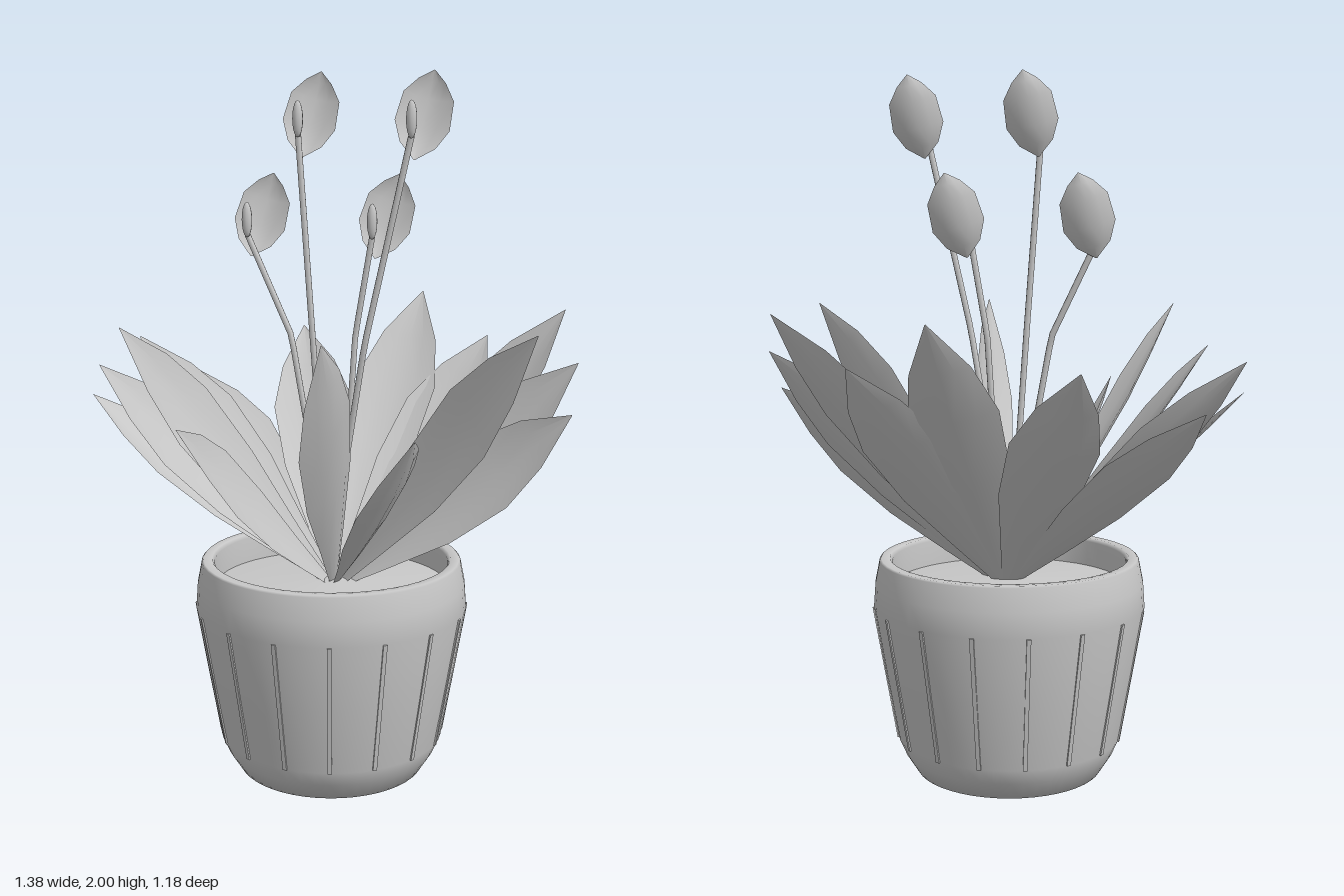
import * as THREE from 'three';

const clay = new THREE.MeshStandardMaterial({ color: 0xc8c8c8, side: THREE.DoubleSide });
clay.name = 'clay grey';

const V = (x, y, z) => new THREE.Vector3(x, y, z);

function add(parent, name, geometry) {
  const mesh = new THREE.Mesh(geometry, clay);
  mesh.name = name;
  parent.add(mesh);
  return mesh;
}

// Cupped blade from base to tip; profile rows are [position along, half width, bow]
function blade(base, tip, side, normal, profile, cup) {
  const pos = [], index = [], n = 4;
  profile.forEach(([t, w, bow], i) => {
    const centre = base.clone().lerp(tip, t).addScaledVector(normal, bow);
    for (let j = 0; j <= n; j++) {
      const u = (j / n) * 2 - 1;
      const p = centre.clone().addScaledVector(side, u * w).addScaledVector(normal, cup * w * (u * u - 0.5));
      pos.push(p.x, p.y, p.z);
      if (i && j) {
        const a = (i - 1) * (n + 1) + j - 1, b = a + 1, c = a + n + 1, d = c + 1;
        index.push(a, b, d, a, d, c);
      }
    }
  });
  const g = new THREE.BufferGeometry();
  g.setAttribute('position', new THREE.Float32BufferAttribute(pos, 3));
  g.setIndex(index);
  g.computeVertexNormals();
  return g;
}

function makePot() {
  const pot = new THREE.Group();
  pot.name = 'pot';
  pot.position.set(-0.007, 0, 0.009);
  const profile = [[0, 0], [0.27, 0], [0.305, 0.055], [0.325, 0.1], [0.36, 0.295], [0.393, 0.49],
    [0.388, 0.56], [0.375, 0.625], [0.37, 0.63], [0.345, 0.63], [0.338, 0.62], [0.338, 0.53]];
  add(pot, 'potBody', new THREE.LatheGeometry(profile.map(p => new THREE.Vector2(...p)), 48));
  add(pot, 'soil', new THREE.LatheGeometry(
    [[0.34, 0.545], [0.2, 0.56], [0, 0.57]].map(p => new THREE.Vector2(...p)), 32));
  // Thin upright ribs around the wall
  for (let i = 0; i < 16; i++) {
    const holder = new THREE.Group();
    holder.name = 'rib';
    holder.rotation.y = (i / 16) * Math.PI * 2;
    const rib = add(holder, 'ribStrip', new THREE.BoxGeometry(0.012, 0.395, 0.008));
    rib.position.set(0, 0.295, 0.359);
    rib.rotation.x = Math.atan2(0.068, 0.39);
    pot.add(holder);
  }
  return pot;
}

// Leaf tips: x, y, z and roll in degrees about the leaf's own length
const LEAVES = [
  [0.05, 1.34, -0.59, -15], [0.28, 1.22, -0.54, -22], [0.58, 1.34, -0.32, -33],
  [0.67, 1.22, -0.13, -50], [0.69, 1.10, 0, -56], [0.65, 1.34, 0.21, -70],
  [0.42, 1.10, 0.48, -36], [0.21, 1.34, 0.575, -60], [-0.19, 1.10, 0.585, 48],
  [-0.40, 1.34, 0.50, 50], [-0.52, 1.22, 0.41, 38], [-0.65, 1.10, 0.24, 15],
  [-0.69, 1.22, -0.10, 25], [-0.61, 1.10, -0.29, 18], [-0.33, 1.22, -0.52, 12],
];
const LEAF_PROFILE = [[0, 0.015, 0], [0.22, 0.06, -0.008], [0.45, 0.108, -0.012],
  [0.68, 0.122, -0.01], [0.84, 0.082, -0.005], [1, 0.001, 0]];

function makeLeaves() {
  const leaves = new THREE.Group();
  leaves.name = 'leaves';
  for (const [x, y, z, roll] of LEAVES) {
    const tip = V(x, y, z), flat = V(x, 0, z).normalize();
    const base = V(0, 0.545, 0).addScaledVector(flat, 0.01);
    const axis = tip.clone().sub(base).normalize();
    const side = V(flat.z, 0, -flat.x);
    const up = axis.clone().cross(side);
    const r = THREE.MathUtils.degToRad(roll), c = Math.cos(r), s = Math.sin(r);
    const normal = up.clone().multiplyScalar(c).addScaledVector(side, s);
    const across = side.clone().multiplyScalar(c).addScaledVector(up, -s);
    add(leaves, 'leaf', blade(base, tip, across, normal, LEAF_PROFILE, 0.22));
  }
  return leaves;
}

// Flowers: stem bend, stem end, and lean of the hood along x
const FLOWERS = [
  { bend: [-0.13, 1.27, 0.01], end: [-0.265, 1.55, 0.01], lean: 0.035 },
  { bend: [-0.05, 1.3, 0.045], end: [-0.09, 1.83, 0.045], lean: 0.025 },
  { bend: [0.04, 1.27, -0.055], end: [0.09, 1.55, -0.055], lean: 0.04 },
  { bend: [0.135, 1.27, 0.11], end: [0.265, 1.83, 0.11], lean: 0.025 },
];
const HOOD_PROFILE = [[0, 0.002, 0], [0.16, 0.048, -0.008], [0.38, 0.074, -0.012],
  [0.7, 0.068, -0.01], [0.88, 0.036, -0.005], [1, 0.001, 0]];

function makeFlower({ bend, end, lean }) {
  const flower = new THREE.Group();
  flower.name = 'flower';
  const [x, y, z] = end;
  const path = new THREE.CurvePath();
  const pts = [V(0, 0.55, 0), V(bend[0] * 0.55, 0.95, bend[2] * 0.8), V(...bend), V(...end)];
  for (let i = 1; i < pts.length; i++) path.add(new THREE.LineCurve3(pts[i - 1], pts[i]));
  add(flower, 'stem', new THREE.TubeGeometry(path, 24, 0.009, 8));

  // Pointed hood behind the spike
  const base = V(x + 0.005, y - 0.06, z - 0.01), tip = V(x + 0.008 + lean, y + 0.172, z - 0.085);
  const axis = tip.clone().sub(base).normalize();
  const side = V(0.93, 0, -0.36).normalize();
  side.addScaledVector(axis, -side.dot(axis)).normalize();
  const normal = side.clone().cross(axis);
  add(flower, 'hood', blade(base, tip, side, normal, HOOD_PROFILE, 0.4));

  const spike = add(flower, 'spike', new THREE.SphereGeometry(0.015, 10, 10));
  spike.scale.y = 3.3;
  spike.position.set(x + 0.008, y + 0.045, z + 0.02);
  const neck = new THREE.LineCurve3(V(...end), V(x + 0.008, y + 0.012, z + 0.02));
  add(flower, 'neck', new THREE.TubeGeometry(neck, 2, 0.008, 8));
  return flower;
}

export function createModel() {
  const model = new THREE.Group();
  model.name = 'pottedPlant';
  model.add(makePot(), makeLeaves(), ...FLOWERS.map(makeFlower));
  return model;
}
